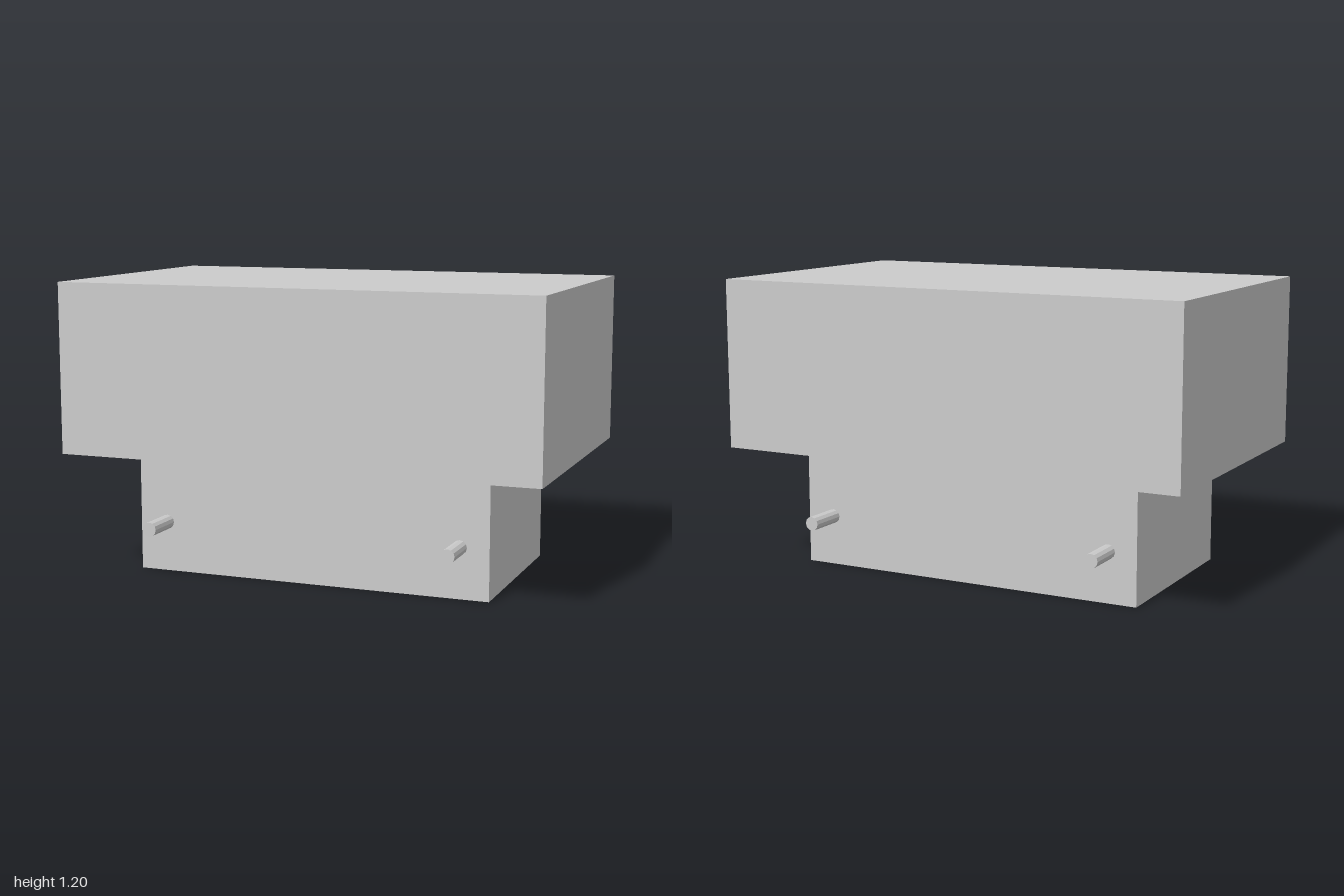
import * as THREE from 'three';

export function createModel() {
  const group = new THREE.Group();
  const material = new THREE.MeshStandardMaterial({ color: 0xcccccc, flatShading: true });

  const add = (name, geometry, x, y, z) => {
    const mesh = new THREE.Mesh(geometry, material);
    mesh.name = name;
    mesh.position.set(x, y, z);
    group.add(mesh);
  };

  // Wide upper block resting on a narrower base
  add('upperBlock', new THREE.BoxGeometry(2, 0.7, 1.2), 0, 0.85, 0);
  add('baseBlock', new THREE.BoxGeometry(1.5, 0.5, 0.8), 0, 0.25, 0);

  // Four pins standing out from the front and back of the base
  const pin = new THREE.CylinderGeometry(0.029, 0.029, 0.16, 12).rotateX(Math.PI / 2);
  for (const [depth, sz] of [['front', 1], ['back', -1]]) {
    for (const [side, sx] of [['Left', 1], ['Right', -1]]) {
      add(`${depth}${side}Pin`, pin, sx * 0.63, 0.206, sz * 0.48);
    }
  }

  return group;
}
